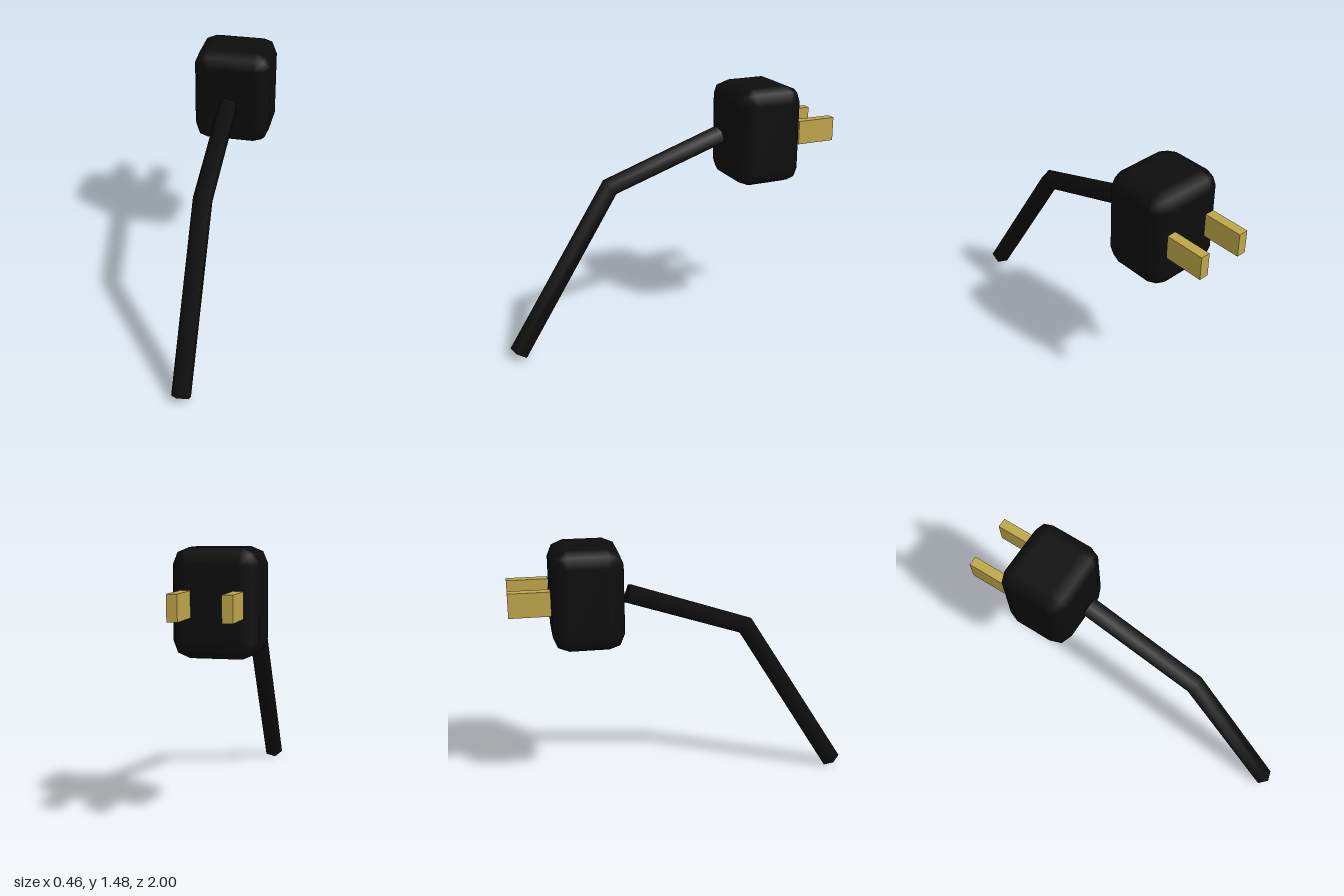
import * as THREE from 'three';
import { ConvexGeometry } from 'three/addons/geometries/ConvexGeometry.js';

// Box with two-segment bevels and smooth normals
function bevelledBox(w, h, d, r) {
  const core = new THREE.Vector3(w / 2 - r, h / 2 - r, d / 2 - r);
  const points = [];
  for (const sx of [-1, 1]) for (const sy of [-1, 1]) for (const sz of [-1, 1]) {
    const sign = new THREE.Vector3(sx, sy, sz);
    for (let mask = 1; mask < 8; mask++) {
      const dir = new THREE.Vector3(mask & 1, (mask >> 1) & 1, mask >> 2).normalize();
      points.push(dir.multiplyScalar(r).add(core).multiply(sign));
    }
  }
  const geometry = new ConvexGeometry(points);
  const { position, normal } = geometry.attributes;
  const low = core.clone().negate();
  const v = new THREE.Vector3();
  for (let i = 0; i < position.count; i++) {
    v.fromBufferAttribute(position, i);
    v.sub(v.clone().clamp(low, core)).normalize();
    normal.setXYZ(i, v.x, v.y, v.z);
  }
  return geometry;
}

// Five-sided capped cable: a cylinder whose rings are moved onto a bent path
function bentCable(path, r) {
  const geometry = new THREE.CylinderGeometry(r, r, 1, 5, path.length - 1, false, -Math.PI / 2);
  const { position, normal } = geometry.attributes;
  const last = path.length - 1;
  const step = (i) => path[i + 1].clone().sub(path[i]).normalize();
  const frames = path.map((p, i) => {
    const tangent = new THREE.Vector3();
    if (i > 0) tangent.add(step(i - 1));
    if (i < last) tangent.add(step(i));
    tangent.normalize();
    const side = new THREE.Vector3(1, 0, 0);
    return new THREE.Matrix4().makeBasis(side, tangent, side.clone().cross(tangent)).setPosition(p);
  });
  const v = new THREE.Vector3();
  for (let i = 0; i < position.count; i++) {
    const frame = frames[Math.round((position.getY(i) + 0.5) * last)];
    v.fromBufferAttribute(position, i).setY(0).applyMatrix4(frame);
    position.setXYZ(i, v.x, v.y, v.z);
    v.fromBufferAttribute(normal, i).transformDirection(frame);
    normal.setXYZ(i, v.x, v.y, v.z);
  }
  return geometry;
}

export function createModel() {
  const model = new THREE.Group();
  model.name = 'powerPlug';
  const rubber = new THREE.MeshStandardMaterial({ color: 0x0d0d0d });
  rubber.name = 'black rubber';
  const brass = new THREE.MeshStandardMaterial({ color: 0xbfa64a });
  brass.name = 'brass';

  const add = (name, geometry, material, x = 0, y = 0, z = 0) => {
    const mesh = new THREE.Mesh(geometry, material);
    mesh.name = name;
    mesh.position.set(x, y, z);
    model.add(mesh);
  };

  // Plug body
  add('plugBody', bevelledBox(0.46, 0.58, 0.405, 0.09), rubber, 0, 1.195, -0.56);

  // Cable, from the free end up to the plug
  const path = [
    new THREE.Vector3(0, 0.03, 0.953),
    new THREE.Vector3(0, 0.96, 0.372),
    new THREE.Vector3(0, 1.193, -0.324),
  ];
  add('cable', bentCable(path, 0.058), rubber);

  // Two flat prongs
  for (const s of [-1, 1]) {
    add(s > 0 ? 'leftProng' : 'rightProng', new THREE.BoxGeometry(0.056, 0.14, 0.235), brass, s * 0.14, 1.196, -0.8825);
  }
  return model;
}
